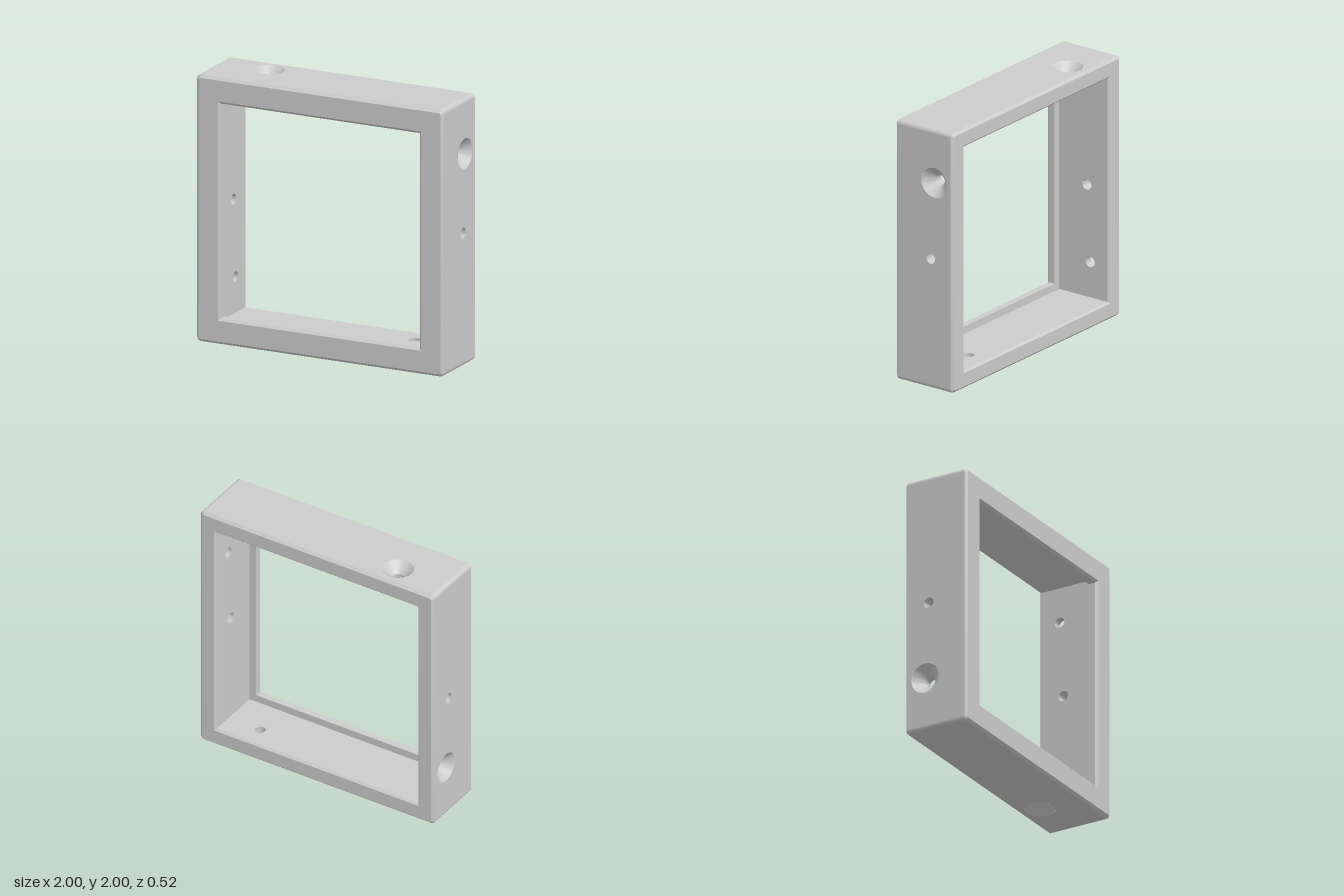
import * as THREE from 'three';
import { toCreasedNormals } from 'three/addons/utils/BufferGeometryUtils.js';

const ARC = 6;          // segments per rounded corner
const CORNER = 0.03;    // outer corner radius
const LIP_BACK = 0.19;  // z where the front lip ends
const INNER = 0.862;    // half size of the inside behind the lip

// Square ring of half size h with corners of radius r, anticlockwise seen from the front
function ring([h, z, r]) {
  const points = [];
  for (let k = 0; k < 4; k++) {
    const mid = Math.PI / 4 + k * Math.PI / 2;
    const cx = Math.sign(Math.cos(mid)) * (h - r);
    const cy = Math.sign(Math.sin(mid)) * (h - r);
    for (let i = 0; i <= ARC; i++) {
      const a = (k + i / ARC) * Math.PI / 2;
      points.push([cx + r * Math.cos(a), cy + r * Math.sin(a), z]);
    }
  }
  return points;
}

// Skin between successive rings; with cornersOnly the four flat sides stay open
function loft(profile, cornersOnly = false) {
  const rings = profile.map(ring);
  const pos = [];
  const same = (p, q) => p.every((v, i) => Math.abs(v - q[i]) < 1e-6);
  const tri = (a, b, c) => {
    if (!same(a, b) && !same(b, c) && !same(a, c)) pos.push(...a, ...b, ...c);
  };
  for (let s = 0; s < rings.length - 1; s++) {
    const A = rings[s], B = rings[s + 1];
    for (let j = 0; j < A.length; j++) {
      if (cornersOnly && j % (ARC + 1) === ARC) continue;
      const n = (j + 1) % A.length;
      tri(A[j], A[n], B[n]);
      tri(A[j], B[n], B[j]);
    }
  }
  const geo = new THREE.BufferGeometry();
  geo.setAttribute('position', new THREE.Float32BufferAttribute(pos, 3));
  return toCreasedNormals(geo, 0.5);
}

// Flat wall with round holes, facing +x (dir 1) or -x (dir -1)
function wall(x, half, z0, z1, holes, dir) {
  const shape = new THREE.Shape([
    new THREE.Vector2(-half, z0), new THREE.Vector2(half, z0),
    new THREE.Vector2(half, z1), new THREE.Vector2(-half, z1),
  ]);
  for (const { y, z, r } of holes) {
    shape.holes.push(new THREE.Path().absarc(dir * y, z, r, 0, Math.PI * 2, true));
  }
  const basis = new THREE.Matrix4().makeBasis(
    new THREE.Vector3(0, dir, 0), new THREE.Vector3(0, 0, 1), new THREE.Vector3(dir, 0, 0));
  return new THREE.ShapeGeometry(shape, 32).applyMatrix4(basis).translate(x, 0, 0);
}

// Inside of a hole running along x; profile is [radius, x]
function bore(profile, y, z) {
  const geo = new THREE.LatheGeometry(profile.map(([r, x]) => new THREE.Vector2(r, x)), 32);
  geo.rotateZ(-Math.PI / 2).translate(0, y, z);
  return toCreasedNormals(geo, 0.5);
}

export function createModel() {
  const model = new THREE.Group();
  model.name = 'squareFrame';
  const body = new THREE.MeshStandardMaterial({ color: 0xcccccc });
  const open = new THREE.MeshStandardMaterial({ color: 0xcccccc, side: THREE.DoubleSide });
  const frame = new THREE.Group();
  frame.name = 'frame';
  frame.position.y = 1;
  model.add(frame);
  const add = (parent, name, geo, mat = body) => {
    const mesh = new THREE.Mesh(geo, mat);
    mesh.name = name;
    parent.add(mesh);
  };

  // Front rim with chamfers and the lip around the opening
  add(frame, 'frontRim', loft([
    [1, 0.24, CORNER], [0.98, 0.26, 0.015], [0.823, 0.26, 0],
    [0.805, 0.242, 0], [0.805, LIP_BACK, 0], [INNER, LIP_BACK, 0],
  ]));
  // Back rim with chamfers
  add(frame, 'backRim', loft([
    [INNER, -0.245, 0], [0.877, -0.26, 0], [0.98, -0.26, 0.015], [1, -0.24, CORNER],
  ]));
  // Rounded outer corners
  add(frame, 'outerCorners', loft([[1, -0.24, CORNER], [1, 0.24, CORNER]], true));

  // Four sides, each turned a quarter; two opposite ones have a plain middle hole
  for (let k = 0; k < 4; k++) {
    const side = new THREE.Group();
    side.name = ['leftSide', 'topSide', 'rightSide', 'bottomSide'][k];
    side.rotation.z = k * Math.PI / 2;
    frame.add(side);

    const sink = { y: 0.59, z: -0.09 };
    const middle = k % 2 === 0 ? [{ y: 0, z: -0.06, r: 0.04 }] : [];
    add(side, 'outerWall',
      wall(1, 1 - CORNER, -0.24, 0.24, [{ ...sink, r: 0.115 }, ...middle], 1));
    add(side, 'innerWall',
      wall(INNER, INNER, -0.245, LIP_BACK, [{ ...sink, r: 0.04 }, ...middle], -1));
    add(side, 'countersunkHole',
      bore([[0.04, INNER], [0.04, 0.925], [0.115, 1]], sink.y, sink.z), open);
    for (const { y, z, r } of middle) {
      add(side, 'middleHole', bore([[r, INNER], [r, 1]], y, z), open);
    }
  }
  return model;
}
